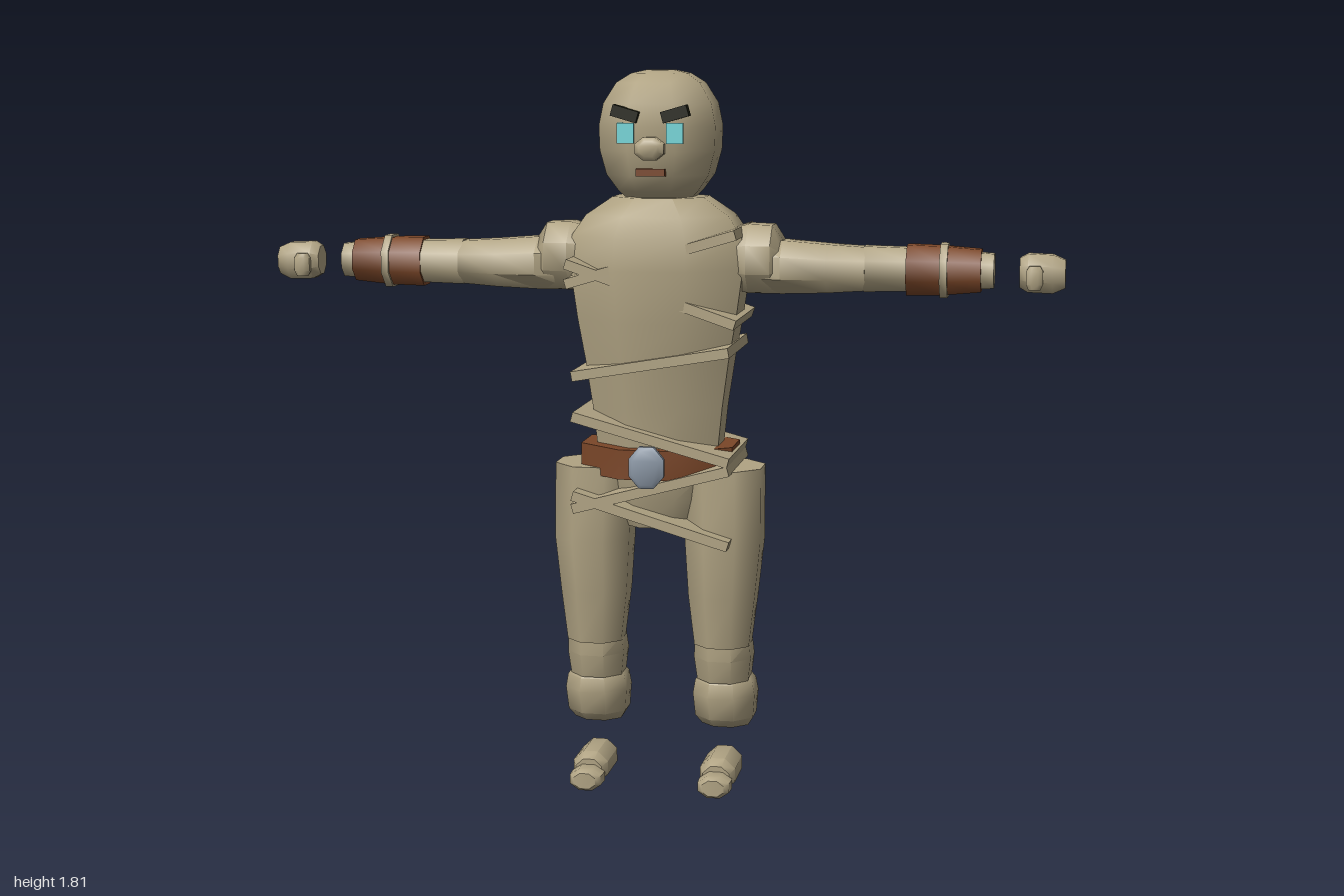
import * as THREE from 'three';
import { toCreasedNormals } from 'three/addons/utils/BufferGeometryUtils.js';

const mat = (name, color) => new THREE.MeshStandardMaterial({ name, color });

// Closed eight-sided loft along an axis.
// Sections are [t, centreA, radiusA, centreB, radiusB]; (A, B) is (x, z) for y, (y, z) for x, (x, y) for z.
function loft(axis, sections, n = 8) {
  const k = 1 / Math.cos(Math.PI / n);
  const ring = ([t, ca, ra, cb, rb]) => Array.from({ length: n }, (_, j) => {
    const w = ((j + 0.5) / n) * Math.PI * 2;
    if (axis === 'y') return [ca + ra * k * Math.sin(w), t, cb + rb * k * Math.cos(w)];
    const a = ca + ra * k * Math.cos(w), b = cb + rb * k * Math.sin(w);
    return axis === 'x' ? [t, a, b] : [a, b, t];
  });
  const rings = sections.map(ring), pos = [];
  const tri = (...p) => p.forEach((v) => pos.push(...v));
  for (let i = 0; i < rings.length - 1; i++) {
    for (let j = 0; j < n; j++) {
      const m = (j + 1) % n, lo = rings[i], hi = rings[i + 1];
      tri(lo[j], lo[m], hi[m]);
      tri(lo[j], hi[m], hi[j]);
    }
  }
  const first = rings[0], last = rings[rings.length - 1];
  for (let j = 1; j < n - 1; j++) {
    tri(first[0], first[j + 1], first[j]);
    tri(last[0], last[j], last[j + 1]);
  }
  const geo = new THREE.BufferGeometry();
  geo.setAttribute('position', new THREE.Float32BufferAttribute(pos, 3));
  return toCreasedNormals(geo, 0.85);
}

// Mirrors a section list to the side s
function side(axis, sections, s) {
  if (s > 0) return sections;
  if (axis === 'x') return sections.map(([t, ...r]) => [-t, ...r]).reverse();
  return sections.map(([t, ca, ...r]) => [t, -ca, ...r]);
}

export function createModel() {
  const model = new THREE.Group();
  const cloth = mat('cloth', 0xb0a383), leather = mat('leather', 0x7a4628);
  const metal = mat('metal', 0x8a96a4), glow = mat('eyeGlow', 0x74d6d8), dark = mat('brow', 0x1f2010);

  const add = (parent, name, geo, material) => {
    const mesh = new THREE.Mesh(geo, material);
    mesh.name = name;
    parent.add(mesh);
    return mesh;
  };
  const box = (parent, name, material, size, at, tilt = 0) => {
    const mesh = add(parent, name, new THREE.BoxGeometry(...size), material);
    mesh.position.set(...at);
    mesh.rotation.z = tilt;
    return mesh;
  };
  const group = (name) => {
    const g = new THREE.Group();
    g.name = name;
    model.add(g);
    return g;
  };

  // Head and face
  const head = group('head');
  add(head, 'skull', loft('y', [
    [1.49, 0, 0.07, -0.02, 0.07], [1.52, 0, 0.10, -0.02, 0.105], [1.56, 0, 0.128, -0.02, 0.128],
    [1.62, 0, 0.144, -0.02, 0.138], [1.68, 0, 0.146, -0.02, 0.142], [1.735, 0, 0.135, -0.02, 0.135],
    [1.785, 0, 0.105, -0.02, 0.108], [1.808, 0, 0.07, -0.02, 0.07], [1.816, 0, 0.035, -0.02, 0.035],
  ]), cloth);
  add(head, 'nose', loft('z', [
    [0.1, 0, 0.036, 1.628, 0.028], [0.14, 0, 0.036, 1.628, 0.028], [0.15, 0, 0.024, 1.628, 0.018],
  ]), cloth);
  box(head, 'mouth', leather, [0.072, 0.018, 0.02], [0, 1.57, 0.118]);
  for (const s of [1, -1]) {
    box(head, 'eye', glow, [0.042, 0.05, 0.009], [s * 0.061, 1.665, 0.126]);
    box(head, 'eyebrow', dark, [0.066, 0.028, 0.03], [s * 0.062, 1.712, 0.122], s * 0.28);
  }

  // Torso and hips
  const body = group('body');
  add(body, 'torso', loft('y', [
    [0.84, 0, 0.15, -0.02, 0.115], [0.98, 0, 0.165, -0.015, 0.122], [1.1, 0, 0.182, -0.015, 0.142],
    [1.2, 0, 0.2, -0.015, 0.152], [1.33, 0, 0.218, -0.015, 0.163], [1.41, 0, 0.214, -0.018, 0.157],
    [1.46, 0, 0.18, -0.02, 0.14], [1.505, 0, 0.115, -0.02, 0.105],
  ]), cloth);
  add(body, 'hips', loft('y', [
    [0.675, 0, 0.1, -0.02, 0.085], [0.75, 0, 0.13, -0.02, 0.11], [0.85, 0, 0.16, -0.02, 0.118],
  ]), cloth);
  add(body, 'belt', loft('y', [
    [0.81, 0, 0.193, -0.015, 0.148], [0.885, 0, 0.193, -0.015, 0.148],
  ]), leather);
  add(body, 'buckle', loft('z', [
    [0.158, 0, 0.035, 0.85, 0.044], [0.166, 0, 0.044, 0.85, 0.052],
    [0.18, 0, 0.044, 0.85, 0.052], [0.187, 0, 0.034, 0.85, 0.042],
  ]), metal);

  // Slanted bandage layers: height at the right end, then at the left end
  const bandages = [[1.295, 1.422], [1.345, 1.202], [1.066, 1.134], [0.965, 0.86], [0.732, 0.84], [0.765, 0.65]];
  for (const [a, b] of bandages) {
    const half = a > 1.2 ? 0.212 : 0.197;
    box(body, 'bandage', cloth, [Math.hypot(2 * half, b - a), 0.025, 0.31],
      [0, (a + b) / 2, -0.015], Math.atan2(b - a, 2 * half));
  }

  for (const s of [1, -1]) {
    const part = (parent, name, axis, sections, material = cloth) =>
      add(parent, name, loft(axis, side(axis, sections, s)), material);

    // Arm, cuff and detached hand
    const arm = group(s > 0 ? 'leftArm' : 'rightArm');
    part(arm, 'shoulder', 'x', [
      [0.18, 1.355, 0.075, -0.02, 0.07], [0.225, 1.355, 0.085, -0.02, 0.085],
      [0.285, 1.355, 0.083, -0.02, 0.082], [0.312, 1.35, 0.05, -0.02, 0.05],
    ]);
    part(arm, 'upperArm', 'x', [
      [0.22, 1.335, 0.066, -0.02, 0.066], [0.31, 1.335, 0.066, -0.02, 0.076],
      [0.42, 1.332, 0.06, -0.026, 0.068], [0.515, 1.332, 0.054, -0.032, 0.062],
    ]);
    part(arm, 'forearm', 'x', [
      [0.51, 1.332, 0.056, -0.033, 0.062], [0.64, 1.332, 0.053, -0.034, 0.056],
      [0.8, 1.332, 0.044, -0.03, 0.044], [0.828, 1.332, 0.042, -0.028, 0.042],
    ]);
    part(arm, 'cuff', 'x', [
      [0.615, 1.331, 0.062, -0.035, 0.062], [0.7, 1.331, 0.06, -0.033, 0.06], [0.797, 1.332, 0.052, -0.03, 0.05],
    ], leather);
    part(arm, 'cuffBand', 'x', [
      [0.697, 1.331, 0.066, -0.033, 0.066], [0.716, 1.331, 0.066, -0.033, 0.066],
    ]);
    part(arm, 'hand', 'x', [
      [0.89, 1.33, 0.036, -0.02, 0.032], [0.91, 1.33, 0.047, -0.02, 0.043],
      [0.97, 1.328, 0.047, -0.02, 0.043], [1.0, 1.328, 0.034, -0.02, 0.03],
    ]);
    part(arm, 'thumb', 'y', [
      [1.292, 0.927, 0.014, 0.027, 0.012], [1.305, 0.927, 0.02, 0.027, 0.016],
      [1.338, 0.927, 0.02, 0.027, 0.016], [1.35, 0.927, 0.013, 0.027, 0.01],
    ]);

    // Leg, shin, boot and detached foot
    const leg = group(s > 0 ? 'leftLeg' : 'rightLeg');
    part(leg, 'thigh', 'y', [
      [0.37, 0.165, 0.07, 0, 0.068], [0.5, 0.165, 0.085, -0.002, 0.085], [0.64, 0.168, 0.096, -0.003, 0.1],
      [0.83, 0.165, 0.098, -0.01, 0.101],
    ]);
    const shin = part(leg, 'shin', 'y', [
      [0.27, 0.165, 0.066, -0.023, 0.072], [0.33, 0.165, 0.073, -0.02, 0.083], [0.375, 0.165, 0.07, -0.01, 0.072],
    ]);
    shin.position.set(0, 0.005, 0);
    part(leg, 'boot', 'y', [
      [0.15, 0.167, 0.06, -0.045, 0.055], [0.175, 0.167, 0.075, -0.037, 0.076], [0.235, 0.167, 0.08, -0.032, 0.083],
      [0.27, 0.167, 0.074, -0.03, 0.077], [0.285, 0.167, 0.062, -0.03, 0.066],
    ]);
    part(leg, 'foot', 'z', [
      [-0.055, 0.165, 0.032, 0.047, 0.028], [-0.035, 0.165, 0.045, 0.046, 0.042],
      [0.08, 0.165, 0.045, 0.046, 0.042], [0.105, 0.165, 0.034, 0.042, 0.032],
    ]);
    part(leg, 'toe', 'z', [
      [0.09, 0.165, 0.036, 0.032, 0.025], [0.105, 0.165, 0.042, 0.032, 0.028],
      [0.145, 0.165, 0.04, 0.032, 0.028], [0.158, 0.165, 0.028, 0.032, 0.02],
    ]);
  }
  return model;
}
